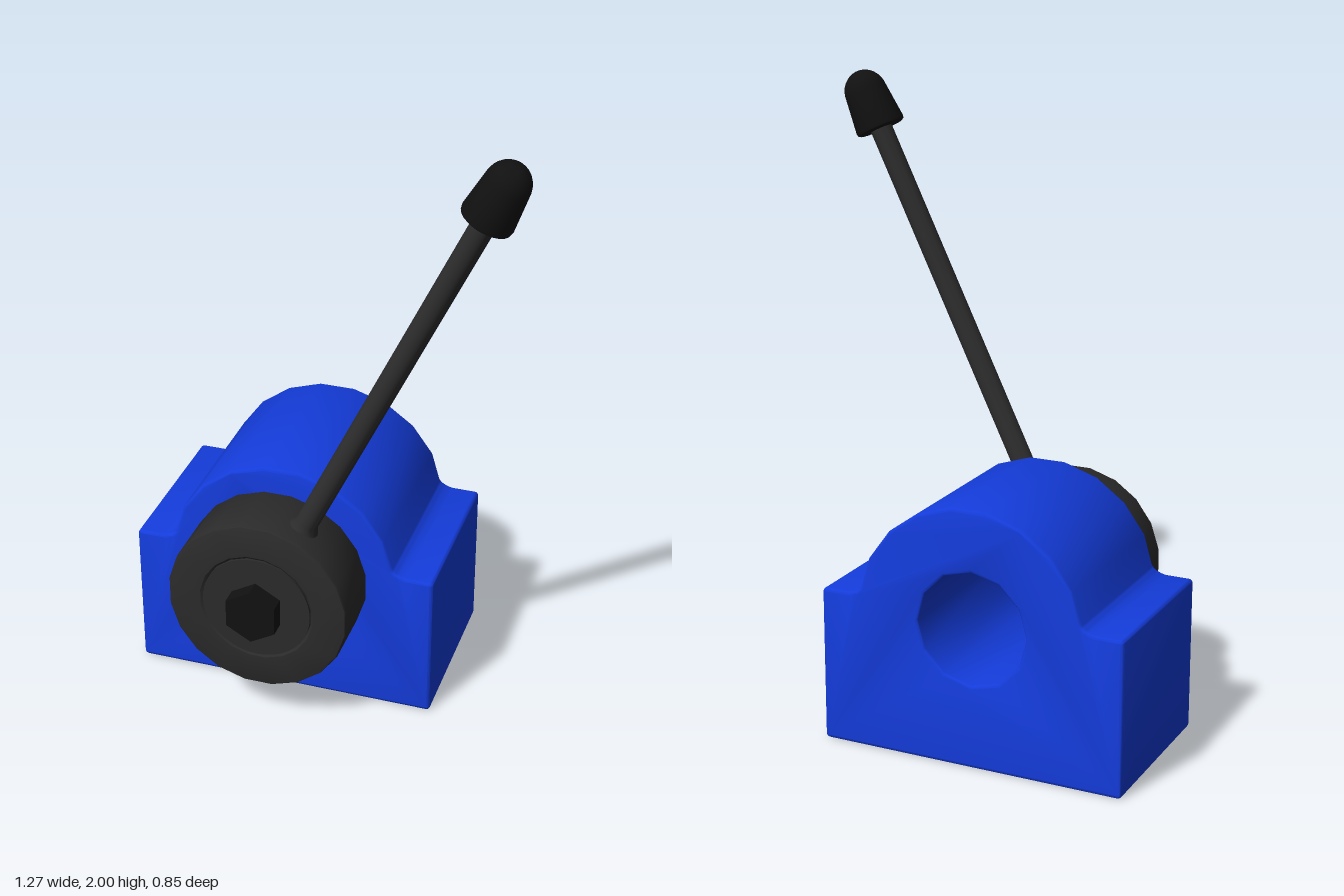
import * as THREE from 'three';
import { toCreasedNormals } from 'three/addons/utils/BufferGeometryUtils.js';

const blue = new THREE.MeshStandardMaterial({ color: 0x143cdc });
const darkGrey = new THREE.MeshStandardMaterial({ color: 0x2b2b2b });
const black = new THREE.MeshStandardMaterial({ color: 0x111111 });

const HUB_X = -0.14, HUB_Y = 0.448, BODY_X = -0.13;

function part(name, geometry, material, crease = 0.6) {
  const mesh = new THREE.Mesh(toCreasedNormals(geometry, crease), material);
  mesh.name = name;
  return mesh;
}

function lathe(points, segments) {
  return new THREE.LatheGeometry(points.map(([r, y]) => new THREE.Vector2(r, y)), segments);
}

// Block with a domed top, filleted shoulders and a bore through it
function createBlock() {
  const s = new THREE.Shape(), c = 0.015, w = 0.5, top = 0.5;
  s.moveTo(-w + c, 0);
  s.lineTo(w - c, 0);
  s.quadraticCurveTo(w, 0, w, c);
  s.lineTo(w, top - c);
  s.quadraticCurveTo(w, top, w - c, top);
  s.lineTo(0.41, top);
  s.quadraticCurveTo(0.37, 0.507, 0.362, 0.53);
  for (let a = 27; a <= 153; a += 18) {
    const t = THREE.MathUtils.degToRad(a);
    s.lineTo(0.377 * Math.cos(t), 0.45 + 0.377 * Math.sin(t));
  }
  s.lineTo(-0.362, 0.53);
  s.quadraticCurveTo(-0.37, 0.507, -0.41, top);
  s.lineTo(-w + c, top);
  s.quadraticCurveTo(-w, top, -w, top - c);
  s.lineTo(-w, c);
  s.quadraticCurveTo(-w, 0, -w + c, 0);
  const bore = new THREE.Path();
  bore.absarc(HUB_X - BODY_X, HUB_Y, 0.18, 0, Math.PI * 2, true);
  s.holes.push(bore);

  const b = 0.01;
  const geo = new THREE.ExtrudeGeometry(s, {
    depth: 0.575 - 2 * b, curveSegments: 6, bevelEnabled: true,
    bevelSize: b, bevelThickness: b, bevelOffset: -b, bevelSegments: 3,
  });
  geo.translate(BODY_X, 0, -0.425 + b);
  return part('block', geo, blue);
}

export function createModel() {
  const model = new THREE.Group();
  model.add(createBlock());

  // Clamping hub on the front face
  const hub = new THREE.Group();
  hub.name = 'clampHub';
  hub.position.set(HUB_X, HUB_Y, 0.15);
  const ring = lathe([
    [0.18, 0], [0.286, 0], [0.293, 0.003], [0.296, 0.01], [0.296, 0.21],
    [0.293, 0.217], [0.286, 0.22], [0.188, 0.22], [0.18, 0.214], [0.18, 0],
  ], 20);
  ring.rotateX(Math.PI / 2).rotateZ(Math.PI / 20);
  hub.add(part('hubRing', ring, darkGrey));

  // Flush core and hexagonal head
  const core = new THREE.CylinderGeometry(0.1775, 0.1775, 0.22, 40);
  core.rotateX(Math.PI / 2).translate(0, 0, 0.11);
  hub.add(part('hubCore', core, darkGrey));
  const head = new THREE.CylinderGeometry(0.092, 0.092, 0.06, 6);
  head.rotateX(Math.PI / 2).translate(0, 0, 0.245);
  hub.add(part('hexHead', head, black));
  model.add(hub);

  // Lever arm and grip, leaning towards +x
  const lever = new THREE.Group();
  lever.name = 'lever';
  lever.position.set(HUB_X, HUB_Y, 0.265);
  lever.rotation.z = -0.449;
  lever.add(part('leverRod', lathe([
    [0, 0.25], [0.055, 0.28], [0.043, 0.295], [0.036, 0.315], [0.036, 1.6], [0, 1.6],
  ], 20), darkGrey));

  const grip = [[0, 1.522], [0.072, 1.522], [0.079, 1.526], [0.081, 1.535]];
  for (let i = 0; i <= 8; i++) {
    const a = (i / 8) * Math.PI / 2;
    grip.push([0.069 * Math.cos(a), 1.648 + 0.073 * Math.sin(a)]);
  }
  grip[grip.length - 1][0] = 0;
  lever.add(part('leverGrip', lathe(grip, 24), black));
  model.add(lever);

  return model;
}
